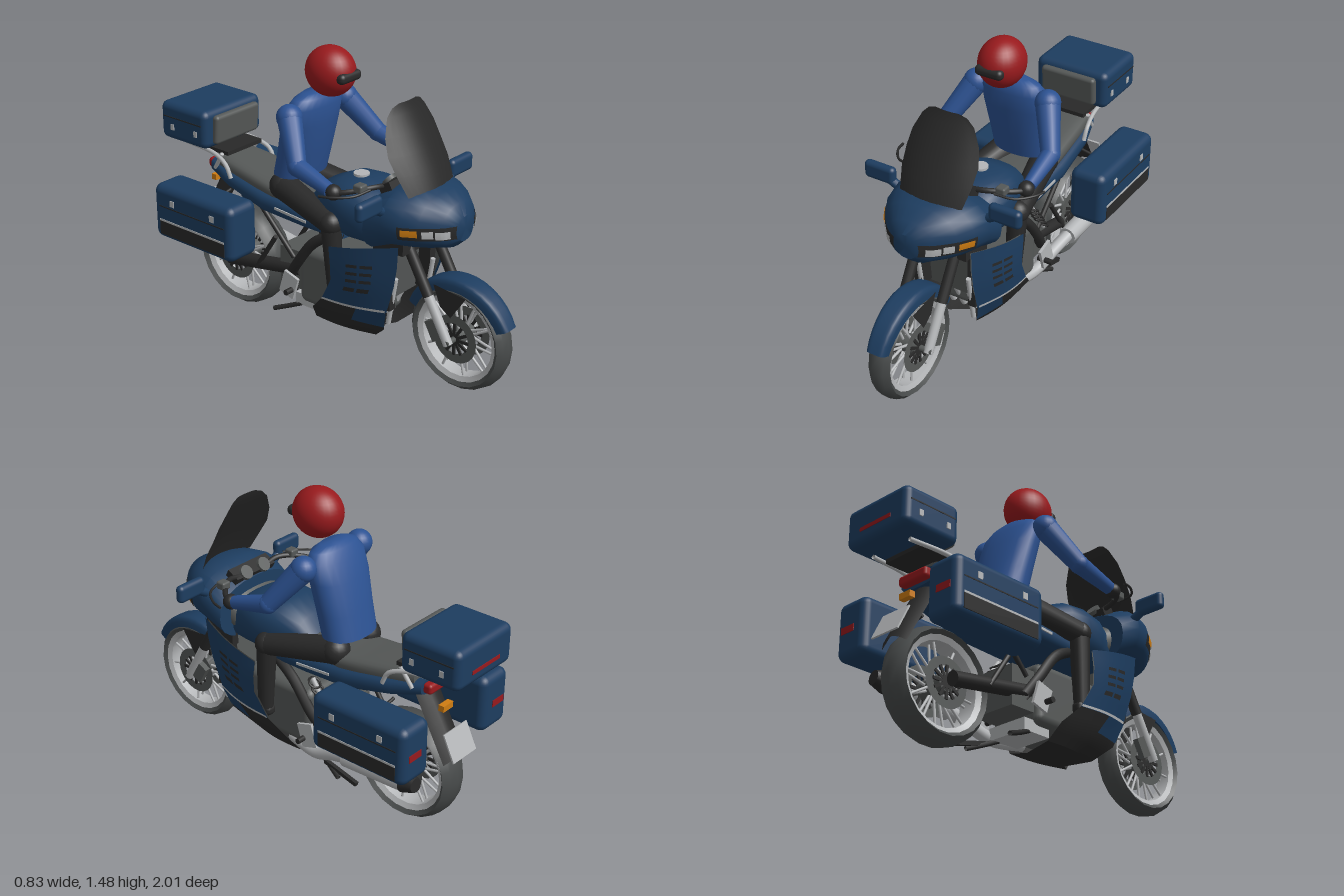
import * as THREE from 'three';
import { toCreasedNormals } from 'three/addons/utils/BufferGeometryUtils.js';
import { RoundedBoxGeometry } from 'three/addons/geometries/RoundedBoxGeometry.js';

const mat = (name, color) => {
  const m = new THREE.MeshStandardMaterial({ color, side: THREE.DoubleSide });
  m.name = name;
  return m;
};
const navy = mat('navy paint', 0x1d3d60), jacket = mat('jacket blue', 0x2c5292), red = mat('red', 0x981a1d);
const black = mat('black', 0x292929), grey = mat('grey', 0x555857), rubber = mat('tyre grey', 0x484b4b);
const silver = mat('silver', 0xb4b6b8), orange = mat('orange', 0xd07d12);
const V = (p) => new THREE.Vector3(...p);
const lerp = THREE.MathUtils.lerp;

// surface through equal-length rows of points
function skin(rows, crease = 0.65) {
  const n = rows[0].length, idx = [];
  for (let i = 0; i < rows.length - 1; i++)
    for (let j = 0; j < n - 1; j++) {
      const a = i * n + j, b = a + n;
      idx.push(a, b, a + 1, b, b + 1, a + 1);
    }
  const g = new THREE.BufferGeometry();
  g.setAttribute('position', new THREE.Float32BufferAttribute(rows.flat(2), 3));
  g.setIndex(idx);
  return toCreasedNormals(g, crease);
}
const grid = (fn, nu, nv) => skin(Array.from({ length: nv + 1 }, (_, j) =>
  Array.from({ length: nu + 1 }, (_, i) => fn(i / nu, j / nv))));
// closed superellipse body along z; sections are [z, halfWidth, yBottom, yTop]
const pw = (c, p) => Math.sign(c) * Math.abs(c) ** (2 / p);
function loft(secs, p = 2.6) {
  const ring = ([z, w, a, b], k = 1) => Array.from({ length: 25 }, (_, i) => {
    const t = (i / 24) * Math.PI * 2;
    return [k * w * pw(Math.cos(t), p), (a + b) / 2 + k * (b - a) / 2 * pw(Math.sin(t), p), z];
  });
  return skin([ring(secs[0], 0), ...secs.map((s) => ring(s)), ring(secs.at(-1), 0)]);
}
// piecewise linear lookup in a table, by fraction of its length
function sample(table, v) {
  const f = Math.min(Math.max(v, 0), 0.99999) * (table.length - 1), i = Math.floor(f);
  return table[i].map((a, k) => lerp(a, table[i + 1][k], f - i));
}

export function createModel() {
  const root = new THREE.Group();
  root.name = 'touringMotorcycleWithRider';
  const add = (name, geo, m, pos = [0, 0, 0], rot = [0, 0, 0], parent = root) => {
    const o = new THREE.Mesh(geo, m);
    o.name = name;
    o.position.set(...pos);
    o.rotation.set(...rot);
    parent.add(o);
    return o;
  };
  const box = (name, size, m, pos, rot, parent) => add(name, new THREE.BoxGeometry(...size), m, pos, rot, parent);
  const rod = (name, a, b, r, m, r2 = r, parent = root) => {
    const d = V(b).sub(V(a)), o = add(name, new THREE.CylinderGeometry(r2, r, d.length(), 14), m,
      V(a).add(V(b)).multiplyScalar(0.5).toArray(), undefined, parent);
    o.quaternion.setFromUnitVectors(new THREE.Vector3(0, 1, 0), d.normalize());
    return o;
  };
  const pipe = (name, pts, r, m) => add(name,
    new THREE.TubeGeometry(new THREE.CatmullRomCurve3(pts.map(V)), 16, r, 8), m);
  const ball = (name, r, m, pos) => add(name, new THREE.SphereGeometry(r, 20, 14), m, pos);
  const both = (fn) => [1, -1].forEach(fn);

  // Wheels
  const wheel = (name, z, R, w) => {
    const g = new THREE.Group();
    g.name = name;
    g.position.set(0, 0.272, z);
    root.add(g);
    const lathe = (pts) => toCreasedNormals(new THREE.LatheGeometry(pts.map((p) => new THREE.Vector2(...p)), 22), 0.7);
    const side = [0, 0, Math.PI / 2];
    add('tyre', lathe([[R - 0.05, -w * 0.75], [R - 0.03, -w], [R - 0.008, -w * 0.6], [R, 0],
      [R - 0.008, w * 0.6], [R - 0.03, w], [R - 0.05, w * 0.75], [R - 0.05, -w * 0.75]]), rubber, [0, 0, 0], side, g);
    add('rim', lathe([[R - 0.072, -w * 0.6], [R - 0.048, -w * 0.78], [R - 0.048, w * 0.78],
      [R - 0.072, w * 0.6], [R - 0.072, -w * 0.6]]), silver, [0, 0, 0], side, g);
    add('hub', new THREE.CylinderGeometry(0.045, 0.045, w * 1.9, 14), grey, [0, 0, 0], side, g);
    for (let i = 0; i < 20; i++) {
      const a = (i / 20) * Math.PI * 2, b = a + (i % 2 ? 0.18 : -0.18), q = R - 0.066, x = (i % 2 ? 1 : -1) * 0.02;
      rod('spoke', [x, 0.04 * Math.cos(a), 0.04 * Math.sin(a)], [x, q * Math.cos(b), q * Math.sin(b)], 0.007, silver, 0.006, g);
    }
    both((s) => add('brakeDisc', new THREE.RingGeometry(0.075, 0.12, 22), grey, [s * w * 0.9, 0, 0], [0, Math.PI / 2, 0], g));
    both((s) => { for (let i = 0; i < 6; i++) box('discCarrier', [0.008, 0.16, 0.014], black, [s * w * 0.92, 0, 0], [i * Math.PI / 6, 0, 0], g); });
  };
  wheel('frontWheel', 0.735, 0.265, 0.059);
  wheel('rearWheel', -0.62, 0.27, 0.079);

  // Front mudguard and fork
  add('frontMudguard', grid((u, v) => {
    const a = lerp(0.42, 2.78, v), t = u * 2 - 1, r = 0.296 - 0.055 * t ** 4;
    return [(0.048 + 0.015 * Math.sin(Math.PI * v)) * pw(Math.sin(t * Math.PI / 2), 2.6), 0.272 + r * Math.sin(a), 0.735 + r * Math.cos(a)];
  }, 12, 14), navy);
  both((s) => {
    rod('forkLower', [s * 0.1, 0.26, 0.735], [s * 0.1, 0.5, 0.6], 0.023, silver);
    rod('forkUpper', [s * 0.1, 0.47, 0.617], [s * 0.1, 0.8, 0.43], 0.026, black);
    box('brakeCaliper', [0.03, 0.1, 0.06], grey, [s * 0.095, 0.31, 0.655], [-0.5, 0, 0]);
    const bracket = new THREE.Shape([[-0.8, 0.5], [-0.62, 0.52], [-0.66, 0.42], [-0.72, 0.38]].map((p) => new THREE.Vector2(...p)));
    add('mudguardBracket', new THREE.ShapeGeometry(bracket), black, [s * 0.07, 0, 0], [0, Math.PI / 2, 0]);
  });
  rod('frontAxle', [-0.12, 0.272, 0.735], [0.12, 0.272, 0.735], 0.014, grey);

  // Nose cowl, with lamps laid on its surface
  const cowl = [[0.738, 0.055, 0.75, 0.87], [0.70, 0.12, 0.715, 0.92], [0.62, 0.195, 0.7, 0.955], [0.55, 0.238, 0.69, 0.975],
    [0.46, 0.263, 0.68, 0.98], [0.35, 0.25, 0.63, 0.92]];
  const cowlPower = 2.35;
  add('noseCowl', loft(cowl, cowlPower), navy);
  const cowlAt = (z, y, s, off) => {
    let i = 0;
    while (i < cowl.length - 2 && z < cowl[i + 1][0]) i++;
    const k = (cowl[i][0] - z) / (cowl[i][0] - cowl[i + 1][0]);
    const [, w, a, b] = cowl[i].map((c, n) => lerp(c, cowl[i + 1][n], k));
    return [s * (w * (1 - Math.abs((y - (a + b) / 2) / ((b - a) / 2)) ** cowlPower) ** (1 / cowlPower) + off), y, z + off];
  };
  const lamp = (name, s, z0, z1, y0, y1, off, m) => add(name, grid((u, v) => cowlAt(lerp(z0, z1, u), lerp(y0, y1, v), s, off), 8, 3), m);
  both((s) => {
    lamp('lampSurround', s, 0.733, 0.535, 0.775, 0.838, 0.003, black);
    lamp('headlamp', s, 0.718, 0.674, 0.783, 0.82, 0.006, silver);
    lamp('sideLamp', s, 0.668, 0.63, 0.788, 0.825, 0.006, silver);
    lamp('frontIndicator', s, 0.615, 0.55, 0.795, 0.828, 0.006, orange);
  });
  box('lampBay', [0.34, 0.06, 0.12], black, [0, 0.69, 0.46]);
  add('cockpitTrim', loft([[0.4, 0.19, 0.68, 0.9], [0.32, 0.17, 0.66, 0.84]]), grey);
  box('instrumentPanel', [0.26, 0.07, 0.07], black, [0, 0.93, 0.39], [-0.5, 0, 0]);
  both((s) => add('dial', new THREE.CylinderGeometry(0.035, 0.035, 0.02, 16), grey, [s * 0.06, 0.955, 0.355], [-0.9, 0, 0]));

  // Windscreen
  const screen = [[0.95, 0.59, 0.165], [1.04, 0.555, 0.185], [1.12, 0.51, 0.19], [1.2, 0.47, 0.175], [1.28, 0.425, 0.135], [1.315, 0.41, 0.1], [1.33, 0.405, 0.06]];
  add('windscreen', skin(screen.map(([y, z, w]) => Array.from({ length: 13 }, (_, i) => {
    const x = w * (i / 6 - 1);
    return [x, y, z - 1.8 * x * x];
  }))), black);

  // Side fairings: rows are [zFront, yFront, zBack, yBack, xFront, xBack]
  const fairing = [[0.51, 0.71, 0.14, 0.62, 0.19, 0.238], [0.5, 0.6, 0.15, 0.54, 0.185, 0.24], [0.48, 0.5, 0.15, 0.45, 0.18, 0.235],
    [0.43, 0.345, 0.08, 0.325, 0.168, 0.218], [0.39, 0.23, -0.01, 0.235, 0.135, 0.18], [0.3, 0.15, -0.04, 0.15, 0.08, 0.12], [0.2, 0.12, -0.05, 0.12, 0, 0]];
  both((s) => {
    const patch = (name, u0, u1, v0, v1, m, off = 0, nu = 8, nv = 6) => add(name, grid((a, b) => {
      const u = lerp(u0, u1, a), [zf, yf, zb, yb, xf, xb] = sample(fairing, lerp(v0, v1, b));
      const bulge = 0.02 * Math.sin(Math.PI * u) * Math.min(1, xf / 0.08);
      return [s * (lerp(xf, xb, u) + bulge + off), lerp(yf, yb, u), lerp(zf, zb, u)];
    }, nu, nv), m);
    patch('sideFairing', 0, 1, 0, 0.5, navy);
    patch('fairingLining', 0.02, 0.98, 0.01, 0.5, grey, -0.012);
    patch('bellyPan', 0, 1, 0.5, 1, black);
    patch('lowerFairing', 0, 0.42, 0.5, 0.64, navy, 0.003);
    patch('fairingStripe', 0.02, 1, 0.485, 0.5, silver, 0.004, 8, 1);
    for (let i = 0; i < 4; i++) for (let j = 0; j < 2; j++)
      patch('vent', 0.32 + j * 0.22, 0.5 + j * 0.22, 0.15 + i * 0.07, 0.178 + i * 0.07, black, 0.004, 2, 1);
    box('radiatorDuct', [0.04, 0.34, 0.1], black, [s * 0.15, 0.53, 0.4]);
    rod('radiatorPipe', [s * 0.14, 0.28, 0.42], [s * 0.14, 0.52, 0.46], 0.012, silver);
  });

  // Engine and frame
  box('radiator', [0.28, 0.3, 0.04], grey, [0, 0.5, 0.36], [0.1, 0, 0]);
  for (let i = 0; i < 4; i++) rod('exhaustHeader', [-0.12 + i * 0.08, 0.4, 0.34], [-0.09 + i * 0.06, 0.18, 0.24], 0.017, silver);
  add('engine', new RoundedBoxGeometry(0.3, 0.3, 0.42, 2, 0.04), grey, [0, 0.36, 0.08]);
  box('gearbox', [0.24, 0.2, 0.2], grey, [0, 0.36, -0.17]);
  rod('swingArm', [-0.1, 0.36, -0.15], [-0.11, 0.28, -0.62], 0.035, black);
  rod('swingArmBrace', [0.1, 0.37, -0.16], [0.11, 0.32, -0.42], 0.03, black);
  both((s) => {
    pipe('frameTube', [[s * 0.13, 0.64, 0.12], [s * 0.15, 0.56, -0.02], [s * 0.15, 0.42, -0.13], [s * 0.13, 0.32, -0.2]], 0.026, black);
    rod('subframeTube', [s * 0.12, 0.42, -0.18], [s * 0.13, 0.68, -0.42], 0.013, black);
    rod('rearStrut', [s * 0.13, 0.5, -0.29], [s * 0.13, 0.3, -0.42], 0.012, black);
    box('footpegPlate', [0.015, 0.12, 0.09], silver, [s * 0.19, 0.31, -0.15], [0.3, 0, 0]);
    rod('footpeg', [s * 0.16, 0.29, -0.13], [s * 0.24, 0.29, -0.13], 0.014, black);
    pipe('standLeg', [[s * 0.08, 0.22, -0.05], [s * 0.11, 0.15, -0.2], [s * 0.14, 0.11, -0.3]], 0.012, black);
  });
  rod('shockAbsorber', [0.12, 0.4, -0.24], [0.12, 0.58, -0.12], 0.012, silver);
  for (let i = 0; i < 6; i++) add('springCoil', new THREE.TorusGeometry(0.03, 0.006, 6, 14), black,
    [0.12, 0.42 + i * 0.028, -0.227 + i * 0.019], [Math.PI / 2 - 0.59, 0, 0]);
  box('sideStand', [0.02, 0.02, 0.2], black, [0.12, 0.13, -0.3], [-0.25, 0, 0]);

  // Exhaust
  box('exhaustCollector', [0.22, 0.06, 0.16], silver, [0, 0.2, -0.1]);
  pipe('exhaustPipe', [[0.1, 0.2, 0.02], [0.13, 0.19, -0.15], [0.16, 0.25, -0.3], [0.18, 0.285, -0.4]], 0.032, silver);
  rod('muffler', [0.18, 0.28, -0.38], [0.195, 0.315, -0.74], 0.045, silver, 0.052);
  rod('mufflerTip', [0.195, 0.314, -0.735], [0.2, 0.32, -0.8], 0.054, black, 0.035);

  // Tank, seat and tail
  add('fuelTank', loft([[0.36, 0.16, 0.62, 0.84], [0.28, 0.185, 0.62, 0.89], [0.18, 0.195, 0.62, 0.905], [0.08, 0.18, 0.63, 0.9],
    [-0.03, 0.14, 0.64, 0.85], [-0.09, 0.11, 0.66, 0.78]]), navy);
  add('fuelCap', new THREE.CylinderGeometry(0.038, 0.038, 0.012, 18), silver, [0, 0.908, 0.14]);
  add('seat', loft([[0.02, 0.1, 0.68, 0.76], [-0.1, 0.13, 0.68, 0.78], [-0.3, 0.15, 0.69, 0.78], [-0.42, 0.14, 0.7, 0.795],
    [-0.6, 0.125, 0.72, 0.82], [-0.7, 0.11, 0.74, 0.83]], 3), grey);
  add('tailPanel', loft([[0.12, 0.16, 0.6, 0.7], [-0.1, 0.165, 0.6, 0.715], [-0.35, 0.168, 0.61, 0.735], [-0.6, 0.15, 0.67, 0.77],
    [-0.74, 0.11, 0.71, 0.79]], 3), navy);
  both((s) => box('tailStripe', [0.006, 0.012, 0.2], silver, [s * 0.168, 0.665, -0.16], [0.07, 0, 0]));
  add('tailLight', new RoundedBoxGeometry(0.18, 0.05, 0.05, 2, 0.015), red, [0, 0.75, -0.755]);
  add('rearMudguard', grid((u, v) => {
    const t = u * 2 - 1;
    return [0.08 * t, lerp(0.73, 0.42, v) - 0.03 * t * t, lerp(-0.72, -0.89, v) + 0.03 * t * t];
  }, 6, 4), black);
  box('numberPlate', [0.17, 0.14, 0.008], silver, [0, 0.49, -0.885], [0.45, 0, 0]);
  box('rearIndicator', [0.07, 0.03, 0.03], orange, [0, 0.645, -0.8]);

  // Luggage rack and boxes
  both((s) => {
    pipe('rackTube', [[s * 0.155, 0.74, -0.56], [s * 0.155, 0.8, -0.59], [s * 0.14, 0.835, -0.68], [s * 0.12, 0.842, -0.9]], 0.011, silver);
    rod('rackStay', [s * 0.12, 0.75, -0.7], [s * 0.13, 0.84, -0.64], 0.01, silver);
  });
  box('rackPlate', [0.24, 0.02, 0.22], black, [0, 0.845, -0.72]);
  add('topBox', new RoundedBoxGeometry(0.4, 0.195, 0.315, 3, 0.035), navy, [0, 0.96, -0.84]);
  add('backrest', new RoundedBoxGeometry(0.3, 0.15, 0.04, 2, 0.018), grey, [0, 0.96, -0.67], [0.08, 0, 0]);
  box('topBoxSeam', [0.404, 0.006, 0.26], black, [0, 0.985, -0.84]);
  box('topBoxReflector', [0.2, 0.018, 0.006], red, [0, 0.93, -0.998]);
  both((s) => {
    [-0.75, -0.91].forEach((z) => box('topBoxLatch', [0.008, 0.03, 0.022], silver, [s * 0.2, 0.935, z]));
    add('sideCase', new RoundedBoxGeometry(0.19, 0.285, 0.53, 3, 0.04), navy, [s * 0.295, 0.565, -0.605]);
    box('sideCaseSeam', [0.008, 0.006, 0.44], black, [s * 0.388, 0.6, -0.605]);
    box('sideCasePanel', [0.008, 0.07, 0.44], black, [s * 0.388, 0.485, -0.605]);
    box('sideCaseStripe', [0.009, 0.01, 0.44], silver, [s * 0.388, 0.526, -0.605]);
    [-0.465, -0.735].forEach((z) => box('sideCaseLatch', [0.009, 0.032, 0.028], silver, [s * 0.389, 0.63, z]));
    box('sideCaseReflector', [0.085, 0.034, 0.006], red, [s * 0.31, 0.56, -0.87]);
    rod('sideCaseMount', [s * 0.12, 0.66, -0.6], [s * 0.22, 0.64, -0.6], 0.008, black);
  });

  // Handlebars and mirrors
  both((s) => {
    pipe('handlebar', [[s * 0.04, 0.93, 0.36], [s * 0.17, 0.955, 0.36], [s * 0.27, 0.945, 0.29], [s * 0.32, 0.925, 0.2]], 0.013, black);
    pipe('lever', [[s * 0.22, 0.96, 0.37], [s * 0.31, 0.95, 0.345], [s * 0.37, 0.945, 0.27], [s * 0.385, 0.94, 0.21]], 0.006, black);
    add('switchgear', new RoundedBoxGeometry(0.05, 0.04, 0.05, 2, 0.01), grey, [s * 0.24, 0.965, 0.33]);
    add('mirror', new RoundedBoxGeometry(0.165, 0.088, 0.045, 4, 0.022), navy, [s * 0.335, 0.933, 0.455]);
    rod('mirrorArm', [s * 0.23, 0.88, 0.45], [s * 0.29, 0.915, 0.455], 0.022, navy);
  });

  // Rider: torso rings are [y, z, halfWidth, halfDepth]
  const torso = [[0.83, -0.24, 0, 0], [0.83, -0.24, 0.15, 0.1], [0.95, -0.21, 0.155, 0.1], [1.1, -0.175, 0.17, 0.095],
    [1.19, -0.15, 0.175, 0.078], [1.235, -0.14, 0.14, 0.06], [1.255, -0.14, 0.08, 0.04], [1.255, -0.14, 0, 0]];
  add('torso', skin(torso.map(([y, z, w, d]) => Array.from({ length: 25 }, (_, i) => {
    const t = (i / 24) * Math.PI * 2;
    return [w * pw(Math.cos(t), 2.2), y, z + d * pw(Math.sin(t), 2.2)];
  })), 0.9), jacket);
  both((s) => {
    const shoulder = [s * 0.195, 1.175, -0.13], elbow = [s * 0.29, 0.995, 0.0], wrist = [s * 0.3, 0.94, 0.2];
    ball('shoulder', 0.062, jacket, shoulder);
    rod('upperArm', shoulder, elbow, 0.06, jacket, 0.045);
    ball('elbow', 0.046, jacket, elbow);
    rod('forearm', elbow, wrist, 0.045, jacket, 0.032);
    ball('glove', 0.037, black, [s * 0.3, 0.935, 0.225]);
    const hip = [s * 0.11, 0.775, -0.25], knee = [s * 0.185, 0.71, 0.11], ankle = [s * 0.175, 0.36, 0.13];
    ball('hip', 0.07, black, hip);
    rod('thigh', hip, knee, 0.068, black, 0.055);
    ball('knee', 0.057, black, knee);
    rod('shin', knee, ankle, 0.05, black, 0.038);
    add('boot', new RoundedBoxGeometry(0.065, 0.06, 0.16, 2, 0.025), black, [s * 0.17, 0.34, 0.17]);
  });
  add('helmet', new THREE.SphereGeometry(1, 28, 20), red, [0, 1.368, -0.048]).scale.set(0.11, 0.12, 0.126);
  add('visor', new RoundedBoxGeometry(0.145, 0.05, 0.05, 3, 0.022), black, [0, 1.362, 0.06]);

  return root;
}
